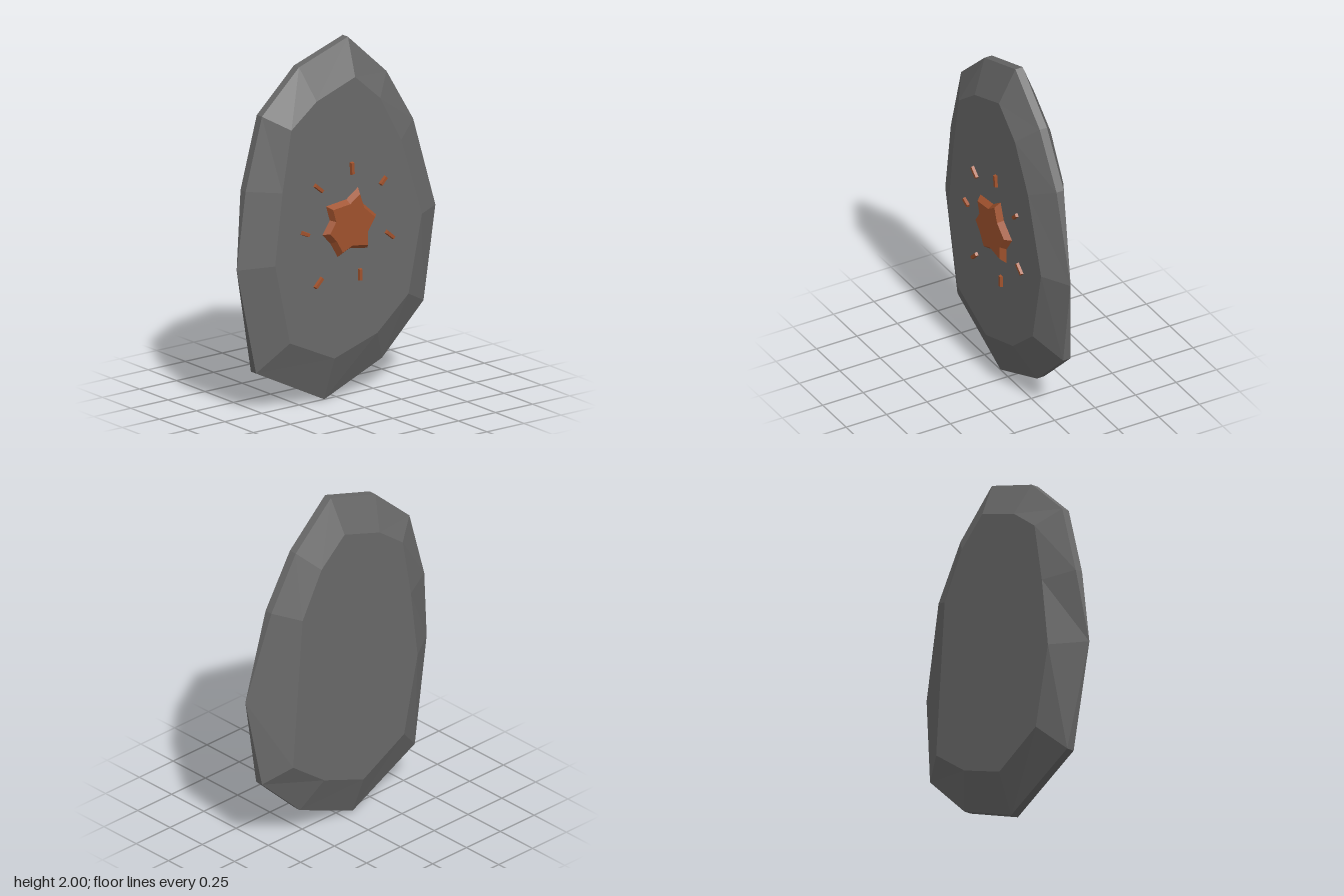
import * as THREE from 'three';

// Skins a stack of counter-clockwise rings (back to front) and caps both ends.
function loft(rings) {
  const pos = [], idx = [], n = rings[0].length;
  rings.forEach(r => r.forEach(p => pos.push(...p)));
  for (let k = 0; k < rings.length - 1; k++) {
    for (let i = 0; i < n; i++) {
      const j = (i + 1) % n, a = k * n + i, b = k * n + j;
      idx.push(a, b, b + n, a, b + n, a + n);
    }
  }
  const cap = (ring, start, front) => {
    const c = pos.length / 3;
    pos.push(...[0, 1, 2].map(d => ring.reduce((s, p) => s + p[d], 0) / n));
    for (let i = 0; i < n; i++) {
      const a = start + i, b = start + (i + 1) % n;
      idx.push(c, front ? a : b, front ? b : a);
    }
  };
  cap(rings[0], 0, false);
  cap(rings[rings.length - 1], (rings.length - 1) * n, true);
  const g = new THREE.BufferGeometry();
  g.setAttribute('position', new THREE.Float32BufferAttribute(pos, 3));
  g.setIndex(idx);
  const flat = g.toNonIndexed();
  flat.computeVertexNormals();
  return flat;
}

const atZ = (pts, z) => pts.map(([x, y]) => [x, y, z]);

export function createModel() {
  const group = new THREE.Group();
  const stoneMat = new THREE.MeshStandardMaterial({ color: 0x696969, flatShading: true });
  const rustMat = new THREE.MeshStandardMaterial({ color: 0xa0522d, flatShading: true });
  const add = (name, geo, mat, parent = group) => {
    const m = new THREE.Mesh(geo, mat);
    m.name = name;
    parent.add(m);
    return m;
  };

  // Stone slab: irregular outline with a bevel on both sides
  const outline = [[0.08, 2], [-0.25, 1.89], [-0.5, 1.66], [-0.61, 1.26], [-0.67, 0.83], [-0.54, 0.23],
    [-0.08, 0], [0.31, 0.16], [0.59, 0.43], [0.67, 0.95], [0.52, 1.46], [0.34, 1.76]];
  const face = [[0.06, 1.8], [-0.2, 1.71], [-0.37, 1.58], [-0.43, 1.24], [-0.48, 0.84], [-0.38, 0.39],
    [-0.08, 0.25], [0.21, 0.34], [0.42, 0.52], [0.51, 0.95], [0.37, 1.39], [0.23, 1.65]];
  const back = face.map(p => [...p]);
  back[6] = [-0.08, 0.23];
  back[8] = [0.44, 0.51];
  back[9] = [0.405, 0.95];
  // The rim narrows to a point at the two widest corners
  const backRim = outline.map(([x, y]) => [x, y, Math.abs(x) > 0.65 ? -0.001 : -0.045]);
  add('stoneSlab', loft([atZ(back, -0.13), backRim, atZ(outline, 0), atZ(face, 0.09)]), stoneMat);

  // Raised six-pointed star with bevelled edges
  const star = [[0.08, 1.185], [0, 1.13], [-0.14, 1.115], [-0.115, 1.03], [-0.165, 0.955], [-0.11, 0.895],
    [-0.06, 0.81], [0.02, 0.845], [0.145, 0.825], [0.145, 0.915], [0.205, 1.005], [0.115, 1.085]];
  const starTop = star.map(([x, y]) => [0.01 + (x - 0.01) * 0.82, 1 + (y - 1) * 0.82]);
  add('star', loft([atZ(star, 0.085), atZ(starTop, 0.123)]), rustMat);

  // Short tapered rays around the star: x, y, length, angle in degrees
  const rays = new THREE.Group();
  rays.name = 'rays';
  group.add(rays);
  [[0.035, 1.295, 0.072, 94], [-0.19, 1.225, 0.07, 140], [-0.28, 0.985, 0.055, 155], [-0.19, 0.695, 0.072, 45],
    [0.09, 0.69, 0.068, 90], [0.29, 0.877, 0.07, -40], [0.245, 1.187, 0.055, 45]].forEach(([x, y, len, deg]) => {
    const rect = s => [[-len / 2, -0.012], [len / 2, -0.012], [len / 2, 0.012], [-len / 2, 0.012]]
      .map(([u, v]) => [u * (0.9 + s * 0.1), v * (0.7 + s * 0.3)]);
    const ray = add('ray', loft([atZ(rect(1), 0.085), atZ(rect(0), 0.106)]), rustMat, rays);
    ray.position.set(x, y, 0);
    ray.rotation.z = THREE.MathUtils.degToRad(deg);
  });

  return group;
}
